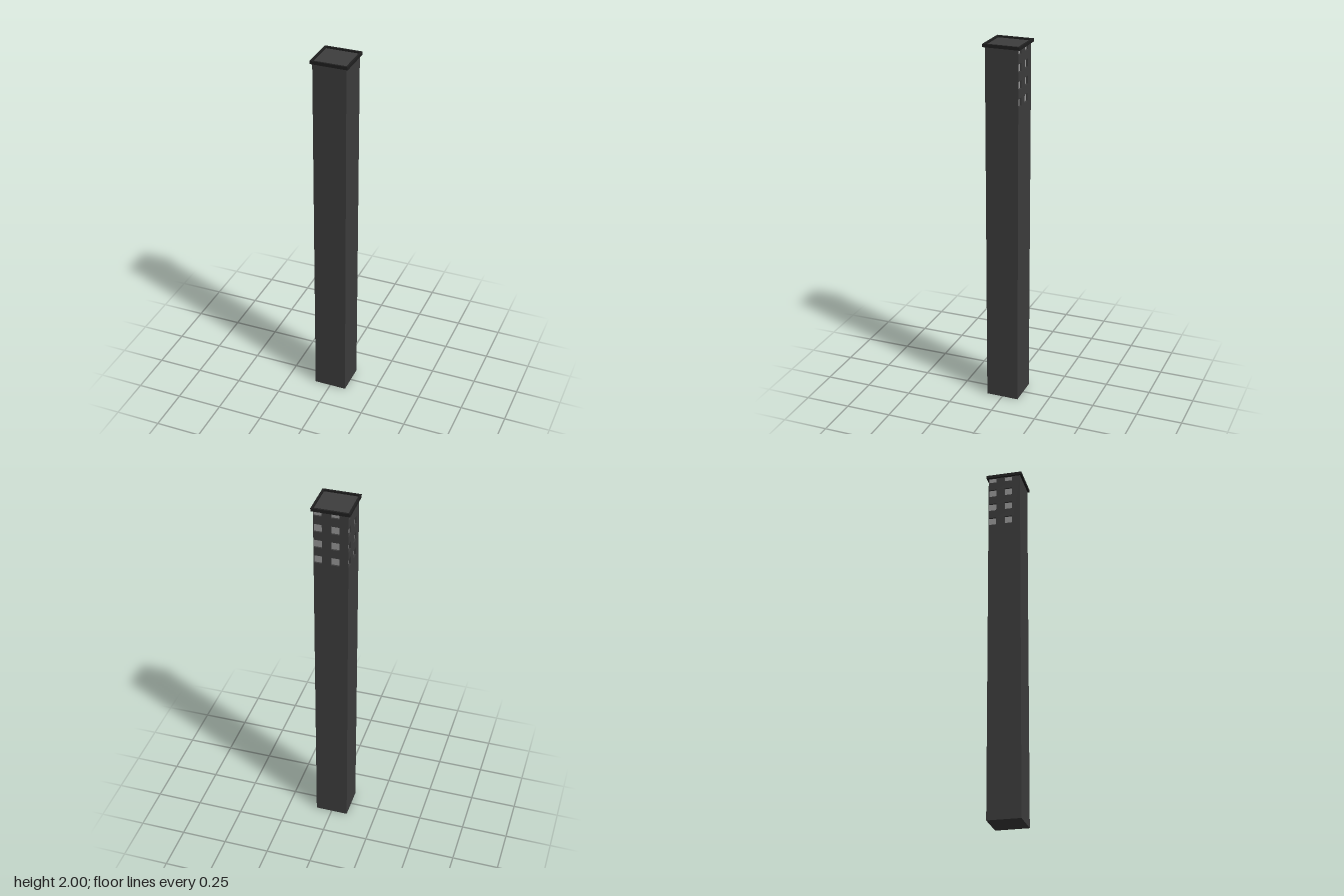
import * as THREE from 'three';

const HALF = 0.09;      // half width of the tower
const TOP = 1.99;       // roof level inside the rim
const RECESS = 0.01;    // depth of the window openings
const INNER = HALF - RECESS;

const wallMat = new THREE.MeshStandardMaterial({ color: 0x3d3d3d });
const rimMat = new THREE.MeshStandardMaterial({ color: 0x202020 });
const paneMat = new THREE.MeshStandardMaterial({ color: 0x999999 });

function add(parent, name, geometry, material, x = 0, y = 0, z = 0) {
  const mesh = new THREE.Mesh(geometry, material);
  mesh.name = name;
  mesh.position.set(x, y, z);
  parent.add(mesh);
  return mesh;
}

function traceRect(path, x0, y0, x1, y1) {
  path.moveTo(x0, y0);
  path.lineTo(x1, y0);
  path.lineTo(x1, y1);
  path.lineTo(x0, y1);
  path.closePath();
  return path;
}

// Wall slab pierced by two columns and four rows of windows
function windowWall(name, right, angle) {
  const wall = new THREE.Group();
  wall.name = name;
  const shape = traceRect(new THREE.Shape(), -HALF, 0, right, TOP);
  const h = 0.0215;
  for (const u of [-0.0675, 0.0225]) {
    for (let row = 0; row < 4; row++) {
      const y = 1.9775 - row * 0.09;
      const y0 = y - h, y1 = Math.min(y + h, 1.986);
      shape.holes.push(traceRect(new THREE.Path(), u - h, y0, u + h, y1));
      add(wall, 'windowPane', new THREE.PlaneGeometry(2 * h, y1 - y0), paneMat,
        u, (y0 + y1) / 2, INNER + 0.0006);
    }
  }
  add(wall, 'wallPanel', new THREE.ExtrudeGeometry(shape, { depth: RECESS, bevelEnabled: false }),
    wallMat, 0, 0, INNER);
  wall.rotation.y = angle;
  return wall;
}

export function createModel() {
  const tower = new THREE.Group();
  tower.name = 'tower';

  // Solid core, flush with the two plain faces
  const size = HALF + INNER;
  add(tower, 'towerCore', new THREE.BoxGeometry(size, TOP, size), wallMat,
    RECESS / 2, TOP / 2, RECESS / 2);

  // Windowed faces
  tower.add(windowWall('backWall', INNER, Math.PI));
  tower.add(windowWall('sideWall', HALF, -Math.PI / 2));

  // Square rim around the roof
  const rim = traceRect(new THREE.Shape(), -0.1, -0.1, 0.1, 0.1);
  rim.holes.push(traceRect(new THREE.Path(), -HALF, -HALF, HALF, HALF));
  add(tower, 'roofRim', new THREE.ExtrudeGeometry(rim, { depth: 0.017, bevelEnabled: false }),
    rimMat, 0, 1.983, 0).rotation.x = -Math.PI / 2;

  return tower;
}
